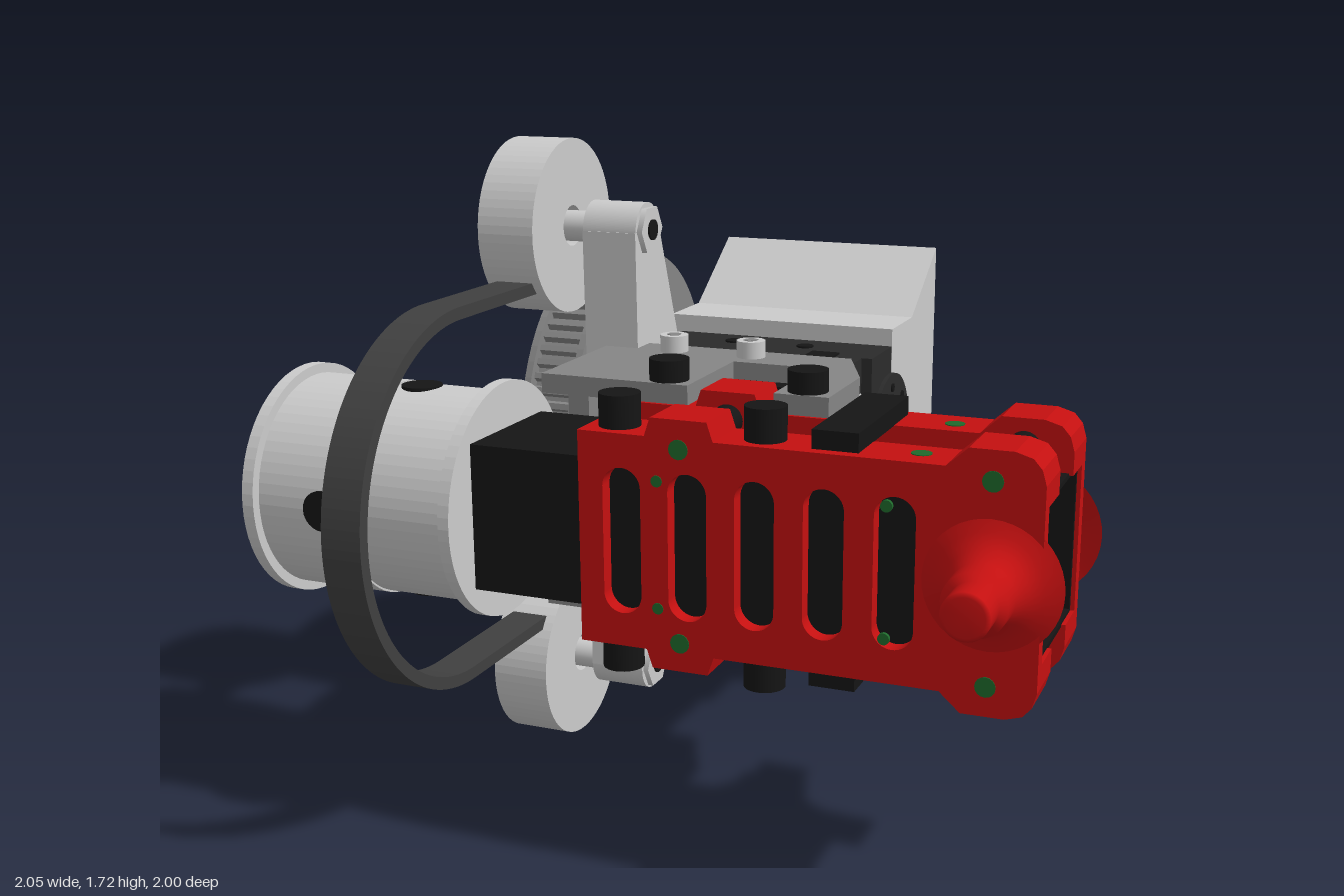
import * as THREE from 'three';

const mat = (color) => new THREE.MeshStandardMaterial({ color, side: THREE.DoubleSide });
const GREY = mat(0xcccccc), MID = mat(0x858585), DARK = mat(0x2b2b2b), BLACK = mat(0x151515),
  BELT = mat(0x404040), RED = mat(0xc41010), GREEN = mat(0x1f6a2c);
const CY = 0.86, TZ = 0.475, WZ = -0.51; // shaft height, tube axis, wheel axis

function add(parent, name, geo, material, x = 0, y = 0, z = 0) {
  const m = new THREE.Mesh(geo, material);
  m.name = name;
  m.position.set(x, y, z);
  parent.add(m);
  return m;
}
// box given by its limits
const box = (p, name, m, x0, x1, y0, y1, z0, z1) =>
  add(p, name, new THREE.BoxGeometry(x1 - x0, y1 - y0, z1 - z0), m, (x0 + x1) / 2, (y0 + y1) / 2, (z0 + z1) / 2);
// cylinder along an axis, centred on x, y, z
function cyl(p, name, m, axis, r, len, x, y, z, sides = 32) {
  const g = new THREE.CylinderGeometry(r, r, len, sides);
  if (axis === 'x') g.rotateZ(Math.PI / 2);
  if (axis === 'z') g.rotateX(Math.PI / 2);
  return add(p, name, g, m, x, y, z);
}
const poly = (pts) => new THREE.Shape(pts.map(([a, b]) => new THREE.Vector2(a, b)));
const extrude = (shape, depth) =>
  new THREE.ExtrudeGeometry(shape, { depth, bevelEnabled: false, curveSegments: 32 });
// shape in (z, y) swept from x0 to x1
const sweepX = (s, x0, x1) => extrude(s, x1 - x0).rotateY(-Math.PI / 2).translate(x1, 0, 0);
// shape in (x, z) swept from y0 to y1
const sweepY = (s, y0, y1) => extrude(s, y1 - y0).rotateX(Math.PI / 2).translate(0, y1, 0);
const rect = (h, k = h) => [[-h, -k], [h, -k], [h, k], [-h, k]];
function disc(r, hole) {
  const s = new THREE.Shape().absarc(0, 0, r, 0, Math.PI * 2);
  if (hole) s.holes.push(hole);
  return s;
}
const ring = (r) => new THREE.Path().absarc(0, 0, r, 0, Math.PI * 2, true);

// belt outline around the wheel axis and its matching front centre
function stadium(r, Cls) {
  const s = new Cls();
  s.absarc(0.51, 0, r, -Math.PI / 2, Math.PI / 2, false);
  s.absarc(-0.51, 0, r, Math.PI / 2, Math.PI * 1.5, false);
  s.closePath();
  return s;
}

// one half of the red clamp; the other is the same part turned over
function channel() {
  const g = new THREE.Group();
  const top = [[-0.1, 0.26], [0.07, 0.26], [0.085, 0.305], [0.225, 0.305], [0.24, 0.26], [0.78, 0.26],
    [0.83, 0.305], [0.93, 0.305], [0.97, 0.293], [0.99, 0.27], [1, 0.235]];
  const plate = poly([...top, ...top.map(([x, y]) => [x, -y]).reverse()]);
  for (let i = 0; i < 5; i++) {
    const x = 0.01 + i * 0.165, r = 0.048, h = new THREE.Path();
    h.absarc(x, 0.13, r, 0, Math.PI, false);
    h.absarc(x, -0.13, r, Math.PI, Math.PI * 2, false);
    h.closePath();
    plate.holes.push(h);
  }
  add(g, 'slottedPlate', extrude(plate, 0.04), RED, 0, 0, 0.185);
  for (const s of [1, -1]) {
    const flange = poly([[-0.1, 0.18 * s], ...top.map(([x, y]) => [x, y * s]), [1, 0.18 * s]]);
    add(g, 'flange', extrude(flange, 0.145), RED, 0, 0, 0.08);
    for (const x of [0.155, 0.885]) cyl(g, 'plateInsert', GREEN, 'z', 0.024, 0.01, x, 0.235 * s, 0.222, 16);
    for (const x of [0.1, 0.65]) cyl(g, 'smallInsert', GREEN, 'z', 0.014, 0.01, x, 0.155 * s, 0.222, 16);
    cyl(g, 'flangeInsert', GREEN, 'y', 0.024, 0.01, 0.705, 0.257 * s, 0.145, 16);
  }
  // stepped pin with flared foot
  const pin = [[0.165, 0.22], [0.125, 0.235], [0.095, 0.26], [0.076, 0.3], [0.074, 0.36], [0.055, 0.362],
    [0.055, 0.435], [0.045, 0.442], [0, 0.442]].map(([r, h]) => new THREE.Vector2(r, h));
  add(g, 'pin', new THREE.LatheGeometry(pin, 40).rotateX(Math.PI / 2), RED, 0.885, 0, 0);
  return g;
}

// flared open box, built from four-cornered sections
function hopper() {
  const s = [[-0.53, 0.305, 0.343], [-0.735, 0.305, 0.343], [-0.99, 0.478, 0.343], [-0.99, 0.38, 0.255], [-0.75, 0.24, 0.255]];
  const pos = [], quad = (a, b, c, d) => pos.push(...a, ...b, ...c, ...a, ...c, ...d);
  const loops = s.map(([z, h, w]) => rect(w, h).map(([x, y]) => [x - 0.047, y + CY, z]));
  for (let k = 0; k < 4; k++)
    for (let i = 0; i < 4; i++) {
      const j = (i + 1) % 4;
      quad(loops[k][j], loops[k][i], loops[k + 1][i], loops[k + 1][j]);
    }
  quad(...loops[0]);
  quad(...[...loops[4]].reverse());
  const geo = new THREE.BufferGeometry();
  geo.setAttribute('position', new THREE.Float32BufferAttribute(pos, 3));
  geo.computeVertexNormals();
  return geo;
}

export function createModel() {
  const root = new THREE.Group();
  root.name = 'beltDrivenClamp';

  // square tube
  const tube = poly(rect(0.185));
  tube.holes.push(new THREE.Path(rect(0.173).reverse().map(([a, b]) => new THREE.Vector2(a, b))));
  add(root, 'squareTube', sweepX(tube, -0.985, 0.99), BLACK, 0, CY, TZ);

  // drum on the tube
  const hole = () => new THREE.Path(rect(0.185).reverse().map(([a, b]) => new THREE.Vector2(a, b)));
  for (const [r, a, b] of [[0.302, -1, -0.968], [0.277, -0.968, -0.71], [0.272, -0.71, -0.44], [0.302, -0.44, -0.41]])
    add(root, 'drum', sweepX(disc(r, hole()), a, b), GREY, 0, CY, TZ);
  for (const s of [1, -1]) {
    cyl(root, 'drumScrew', BLACK, 'z', 0.052, 0.02, -0.785, CY, TZ + s * 0.269, 24);
    cyl(root, 'drumScrewEnd', BLACK, 'z', 0.025, 0.12, -0.785, CY, TZ + s * 0.17, 16);
    cyl(root, 'drumScrew', BLACK, 'y', 0.052, 0.02, -0.65, CY + s * 0.266, TZ, 24);
    cyl(root, 'drumScrewEnd', BLACK, 'y', 0.025, 0.12, -0.65, CY + s * 0.17, TZ, 16);
  }

  // red clamp halves
  for (const turn of [0, Math.PI]) {
    const half = channel();
    half.name = turn ? 'rearClamp' : 'frontClamp';
    half.position.set(0, CY, TZ);
    half.rotation.x = turn;
    root.add(half);
  }

  // belt
  const belt = stadium(0.49, THREE.Shape);
  belt.holes.push(stadium(0.458, THREE.Path));
  add(root, 'belt', sweepX(belt, -0.615, -0.51), BELT, 0, CY, 0);

  // toothed wheel with rims, hub and bolts
  const teeth = [];
  for (let i = 0; i < 70; i++)
    for (const [f, r] of [[0, 0.445], [0.3, 0.445], [0.45, 0.465], [0.85, 0.465]]) {
      const a = ((i + f) / 70) * Math.PI * 2;
      teeth.push([r * Math.cos(a), r * Math.sin(a)]);
    }
  const gear = poly(teeth);
  gear.holes.push(ring(0.075));
  add(root, 'toothedWheel', sweepX(gear, -0.63, -0.495), MID, 0, CY, WZ);
  for (const x of [-0.645, -0.5]) add(root, 'wheelRim', sweepX(disc(0.482, ring(0.075)), x, x + 0.02), MID, 0, CY, WZ);
  cyl(root, 'wheelHub', GREY, 'x', 0.18, 0.1, -0.435, CY, WZ, 48);
  cyl(root, 'wheelCentre', GREY, 'x', 0.075, 0.08, -0.56, CY, WZ);
  for (let i = 0; i < 8; i++) {
    const a = (i * Math.PI) / 4, y = CY + 0.145 * Math.sin(a), z = WZ + 0.145 * Math.cos(a);
    cyl(root, 'wheelBolt', BLACK, 'x', 0.032, 0.045, -0.664, y, z, 20);
    cyl(root, 'hornHole', BLACK, 'x', 0.013, 0.01, 0.306, CY + 0.14 * Math.sin(a), -0.505 + 0.14 * Math.cos(a), 12);
  }

  // servo and output horn
  box(root, 'servoBody', DARK, -0.355, 0.265, 0.605, 1.115, -0.55, -0.065);
  box(root, 'servoEnd', DARK, 0.2, 0.295, 0.605, 1.115, -0.535, -0.34);
  cyl(root, 'horn', DARK, 'x', 0.18, 0.06, 0.277, CY, -0.505, 48);
  add(root, 'hornRing', new THREE.TorusGeometry(0.105, 0.008, 8, 40).rotateY(Math.PI / 2), BLACK, 0.307, CY, -0.505);
  box(root, 'servoLabel', BLACK, 0.11, 0.19, 1.11, 1.12, -0.37, -0.14);
  for (const x of [-0.155, 0.065]) for (const y of [0.605, 1.115]) cyl(root, 'servoHole', BLACK, 'y', 0.024, 0.01, x, y, -0.435, 16);

  // flared rear box
  add(root, 'flaredBox', hopper(), GREY);
  for (const y of [0.72, 1]) {
    cyl(root, 'boxScrew', GREY, 'z', 0.05, 0.05, -0.047, y, -0.765, 24);
    cyl(root, 'boxScrewSocket', MID, 'z', 0.025, 0.01, -0.047, y, -0.788, 6);
  }

  // bracket: two notched plates, angled side wall, rear wall and side plate
  const plate = [[-0.355, -0.07], [0.32, -0.07], [0.41, 0.14], [0.41, 0.385], [0.27, 0.385], [0.27, 0.075],
    [0.045, 0.075], [0.045, 0.385], [-0.355, 0.385]];
  const wall = [[0.32, -0.07], [0.41, 0.14], [0.41, 0.24], [0.34, 0.24], [0.34, 0.15], [0.25, -0.07]];
  for (const y of [0.555, 1.12]) add(root, 'bracketPlate', sweepY(poly(plate), y, y + 0.05), MID);
  add(root, 'bracketSideWall', sweepY(poly(wall), 0.605, 1.12), MID);
  box(root, 'bracketRearWall', MID, -0.355, 0.3, 0.605, 1.12, -0.065, -0.01);
  box(root, 'bracketInnerPlate', MID, -0.41, -0.35, 0.605, 1.115, -0.42, 0.13);
  for (const y of [0.665, 1.065]) {
    const screw = new THREE.Group();
    screw.name = 'wallScrew';
    screw.position.set(0.386, y, 0.08);
    screw.rotation.y = Math.atan2(0.09, 0.21);
    cyl(screw, 'head', GREY, 'x', 0.047, 0.02, 0, 0, 0, 24);
    cyl(screw, 'socket', BLACK, 'x', 0.025, 0.01, 0.009, 0, 0, 6);
    root.add(screw);
  }

  // parts repeated above and below the tube
  for (const s of [1, -1]) {
    const y = (h) => CY + s * h;
    for (const x of [-0.155, 0.065]) {
      cyl(root, 'plateScrew', GREY, 'y', 0.038, 0.045, x, y(0.332), 0, 24);
      cyl(root, 'plateScrewSocket', MID, 'y', 0.02, 0.01, x, y(0.351), 0, 6);
    }
    for (const x of [-0.025, 0.34]) {
      cyl(root, 'rearClampBolt', BLACK, 'y', 0.05, 0.08, x, y(0.325), 0.333, 28);
      cyl(root, 'frontClampBolt', BLACK, 'y', 0.05, 0.08, x, y(0.3), 0.625, 28);
    }
    box(root, 'crossBar', BLACK, 0.465, 0.575, y(0.282) - 0.023, y(0.282) + 0.023, 0.275, 0.67);
    for (const x of [0.155, 0.885]) cyl(root, 'crossRod', BLACK, 'z', 0.04, 0.4, x, y(0.235), TZ, 20);
    cyl(root, 'crossBolt', BLACK, 'z', 0.045, 0.07, 0.155, y(0.235), 0.23, 24);
    box(root, 'nutBlock', BLACK, 0.05, 0.265, y(0.235) - 0.03, y(0.235) + 0.03, 0.08, 0.13);

    // idler arm, wheel and axle
    const arm = poly([[0.005, 0.25], [0.013, 0.62]]);
    arm.absarc(-0.065, 0.62, 0.075, 0, Math.PI - 0.3, false);
    arm.lineTo(-0.285, 0.25);
    const geo = sweepX(arm, -0.415, -0.26);
    if (s < 0) geo.rotateX(Math.PI).translate(0, 0, -0.13);
    // the lower arm leans the same way as the upper one
    if (s < 0) geo.rotateY(Math.PI).translate(-0.675, 0, -0.13);
    add(root, 'idlerArm', geo, GREY, 0, CY, 0);
    add(root, 'idlerWheel', sweepX(disc(0.236, ring(0.055)), -0.645, -0.483), GREY, 0, y(0.622), -0.065);
    cyl(root, 'idlerAxle', GREY, 'x', 0.042, 0.2, -0.5, y(0.622), -0.065);
    cyl(root, 'idlerNut', GREY, 'x', 0.068, 0.02, -0.255, y(0.622), -0.065, 6);
    cyl(root, 'idlerBoltEnd', BLACK, 'x', 0.028, 0.02, -0.25, y(0.622), -0.065, 20);
    cyl(root, 'idlerBoltEnd', BLACK, 'x', 0.028, 0.02, -0.595, y(0.622), -0.065, 20);
  }
  return root;
}
